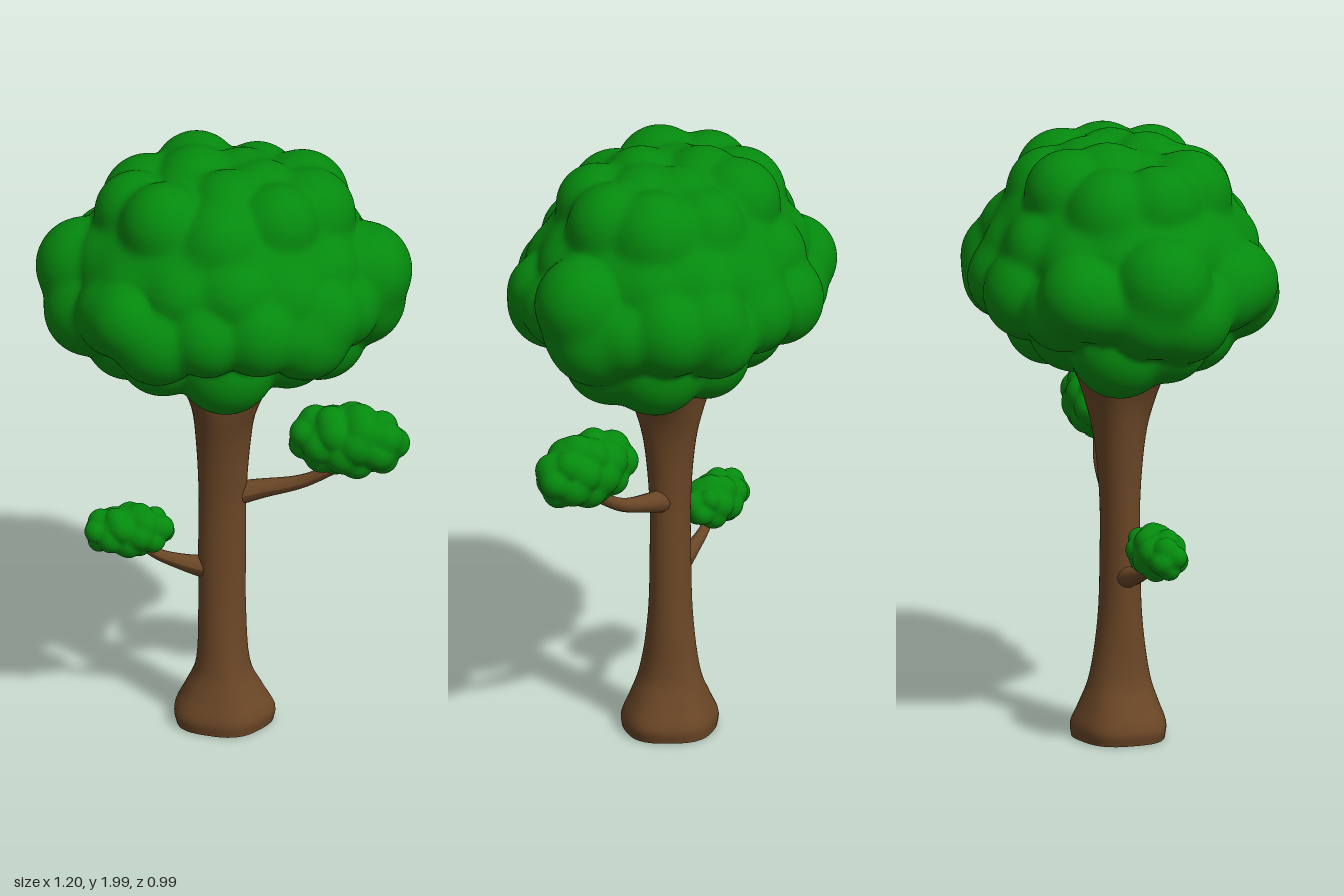
import * as THREE from 'three';
import { mergeVertices } from 'three/addons/utils/BufferGeometryUtils.js';

const bark = new THREE.MeshStandardMaterial({ color: 0x6a4626 });
const leaf = new THREE.MeshStandardMaterial({ color: 0x058a0e });

function addMesh(parent, name, geometry, material, x = 0, y = 0, z = 0, turn = 0) {
  const mesh = new THREE.Mesh(geometry, material);
  mesh.name = name;
  mesh.position.set(x, y, z);
  mesh.rotation.y = turn;
  parent.add(mesh);
}

// One skin wrapped round overlapping lumps (centre c, radius r) and an ellipsoid core
function foliage(lumps, core, detail, sharpness) {
  let g = new THREE.IcosahedronGeometry(1, detail);
  g.deleteAttribute('uv');
  g.deleteAttribute('normal');
  g = mergeVertices(g);
  const p = g.attributes.position, d = new THREE.Vector3();
  for (let i = 0; i < p.count; i++) {
    d.fromBufferAttribute(p, i).normalize();
    let sum = Math.exp(sharpness / d.clone().divide(core).length());
    for (const { c, r } of lumps) {
      const along = d.dot(c), disc = along * along - c.lengthSq() + r * r;
      if (disc > 0 && along > 0) sum += Math.exp(sharpness * (along + Math.sqrt(disc)));
    }
    d.multiplyScalar(Math.log(sum) / sharpness);
    p.setXYZ(i, d.x, d.y, d.z);
  }
  g.computeVertexNormals();
  return g;
}

const lump = (x, y, z, r) => ({ c: new THREE.Vector3(x, y, z), r });

// Oval ring of lumps, slightly uneven in height and size
function lumpRing(count, y, rx, rz, r, turn) {
  return Array.from({ length: count }, (_, i) => {
    const a = (i + turn) / count * Math.PI * 2;
    return lump(Math.cos(a) * rx, y + 0.025 * Math.sin(i * 2.3), Math.sin(a) * rz,
      r * (1 + 0.07 * Math.sin(i * 4.1 + turn)));
  });
}

// Main crown: a wide lower tier under a smaller upper tier, with lobes on each side
function crown() {
  const lumps = [
    // underside, lower tier, shoulder
    ...lumpRing(9, -0.22, 0.31, 0.21, 0.15, 0.3),
    ...lumpRing(4, -0.25, 0.12, 0.1, 0.13, 0.5),
    ...lumpRing(16, -0.08, 0.425, 0.355, 0.14, 0.5),
    ...lumpRing(13, 0.04, 0.36, 0.32, 0.125, 0.2),
    // upper tier
    ...lumpRing(9, 0.215, 0.285, 0.215, 0.14, 0.4),
    ...lumpRing(5, 0.235, 0.13, 0.1, 0.14, 0.2),
    // side lobes, one above the other
    lump(-0.445, 0.01, -0.04, 0.155), lump(-0.43, -0.11, 0.04, 0.15),
    lump(0.445, 0.01, 0.07, 0.155), lump(0.43, -0.11, 0.03, 0.15),
    // corners of the lower tier
    lump(-0.33, -0.04, 0.27, 0.13), lump(-0.33, -0.04, -0.27, 0.14),
    lump(0.3, -0.04, 0.29, 0.12), lump(0.28, -0.04, -0.29, 0.13),
  ];
  return foliage(lumps, new THREE.Vector3(0.49, 0.34, 0.42), 46, 75);
}

// Small leaf cluster: lumps spread evenly over an ellipsoid
function cluster(count, hx, hy, hz) {
  const lumps = [];
  for (let i = 0; i < count; i++) {
    const v = 1 - 2 * (i + 0.5) / count, s = Math.sqrt(1 - v * v), a = i * 2.39996;
    const r = hy * (0.45 + 0.06 * Math.sin(i * 4.7));
    lumps.push(lump(Math.cos(a) * s * (hx - r), v * (hy - r), Math.sin(a) * s * (hz - r), r));
  }
  return foliage(lumps, new THREE.Vector3(hx, hy, hz).multiplyScalar(0.83), 18, 200);
}

// Tapered branch along a curve, wide where it leaves the trunk
function branch(points, r0, r1) {
  const curve = new THREE.CatmullRomCurve3(points.map((q) => new THREE.Vector3(...q)));
  const rings = 20, sides = 12;
  const g = new THREE.TubeGeometry(curve, rings, 1, sides);
  const p = g.attributes.position, v = new THREE.Vector3();
  for (let i = 0; i < p.count; i++) {
    const t = Math.floor(i / (sides + 1)) / rings, o = curve.getPointAt(t);
    const r = r1 + (r0 - r1) * (1 - t) ** 2;
    v.fromBufferAttribute(p, i).sub(o).multiplyScalar(r).add(o);
    p.setXYZ(i, v.x, v.y, v.z);
  }
  g.computeVertexNormals();
  return g;
}

// Trunk: flared foot, slim stem, and a top that spreads into four diagonal limbs
function trunk() {
  // half width in x, height, half width in z
  const profile = new THREE.CatmullRomCurve3([
    [0.155, 0, 0.15], [0.162, 0.04, 0.153], [0.128, 0.11, 0.128], [0.09, 0.19, 0.102],
    [0.077, 0.38, 0.072], [0.077, 0.6, 0.063], [0.077, 0.8, 0.064], [0.09, 1.0, 0.084],
    [0.108, 1.1, 0.107], [0.15, 1.2, 0.135], [0.21, 1.28, 0.18], [0.25, 1.34, 0.21],
  ].map((q) => new THREE.Vector3(...q)));
  let g = new THREE.CylinderGeometry(1, 1, 1, 40, 60);
  g.deleteAttribute('uv');
  g = mergeVertices(g);
  const p = g.attributes.position, q = new THREE.Vector3();
  for (let i = 0; i < p.count; i++) {
    const x = p.getX(i), z = p.getZ(i), a = Math.atan2(z, x);
    profile.getPoint(p.getY(i) + 0.5, q);
    const top = THREE.MathUtils.smoothstep(q.y, 0.95, 1.3);
    const foot = 1 - THREE.MathUtils.smoothstep(q.y, 0, 0.4);
    const k = 1 - top * 0.12 * Math.cos(4 * a) + foot * 0.03 * Math.sin(5 * a + 1);
    p.setXYZ(i, x * q.x * k - 0.005 * Math.sin(q.y * 3), q.y, z * q.z * k);
  }
  g.computeVertexNormals();
  return g;
}

export function createModel() {
  const tree = new THREE.Group();
  tree.name = 'tree';
  addMesh(tree, 'trunk', trunk(), bark);
  addMesh(tree, 'crown', crown(), leaf, 0, 1.6, 0);

  const leftPath = [[0.03, 0.795, 0], [0.12, 0.815, 0.01], [0.25, 0.85, 0.04], [0.38, 0.93, 0.09]];
  addMesh(tree, 'leftBranch', branch(leftPath, 0.042, 0.018), bark);
  addMesh(tree, 'leftLeaves', cluster(26, 0.203, 0.128, 0.115), leaf, 0.393, 1.015, 0.088, -0.3);

  const rightPath = [[-0.04, 0.535, 0], [-0.12, 0.555, 0], [-0.22, 0.595, 0], [-0.3, 0.66, 0]];
  addMesh(tree, 'rightBranch', branch(rightPath, 0.042, 0.014), bark);
  addMesh(tree, 'rightLeaves', cluster(22, 0.154, 0.092, 0.09), leaf, -0.305, 0.68, 0);
  return tree;
}
